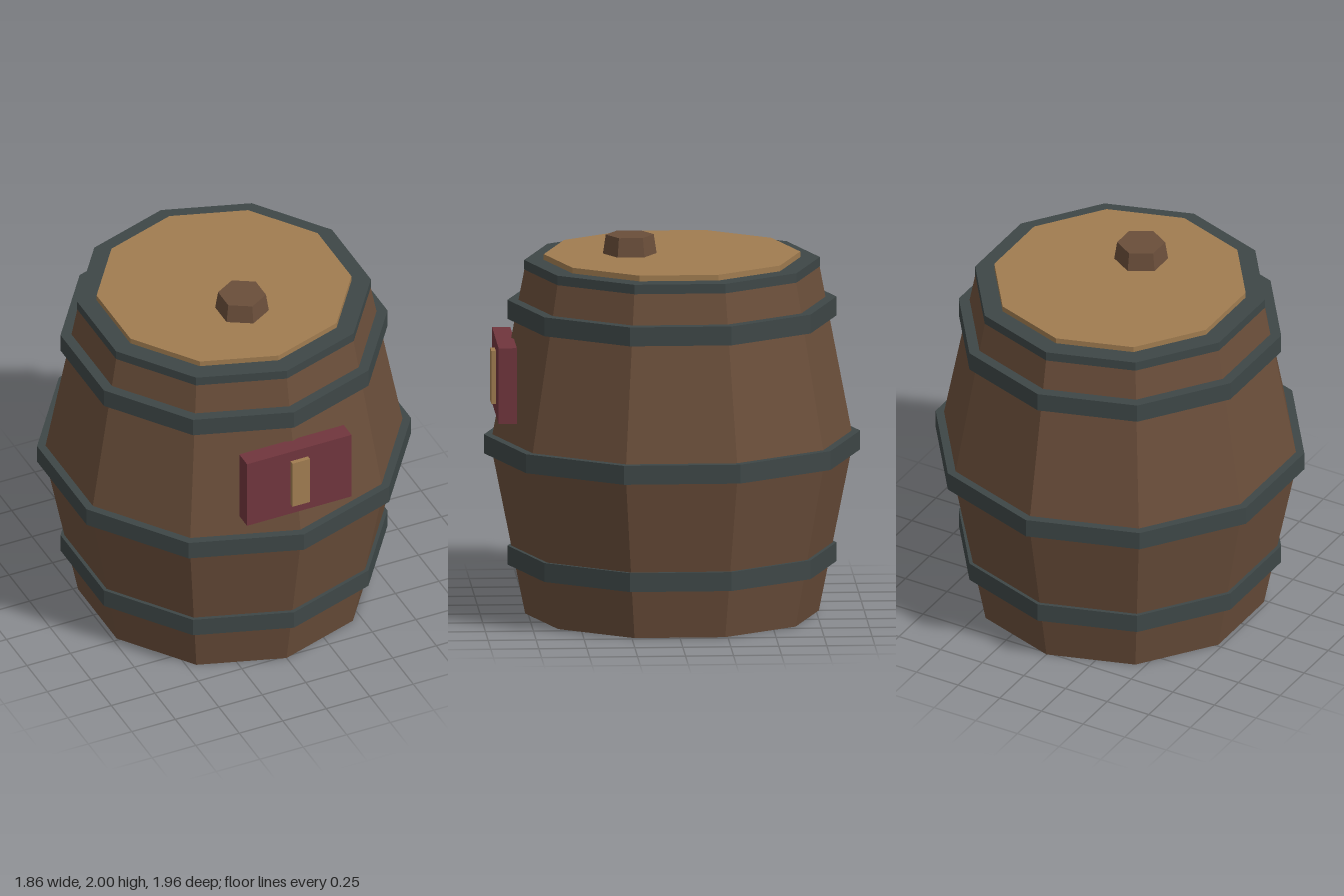
import * as THREE from 'three';

const SIDES = 10;

function material(name, color) {
  const m = new THREE.MeshStandardMaterial({ color });
  m.name = name;
  m.flatShading = true;
  return m;
}

export function createModel() {
  const wood = material('wood', 0x6a4e3a);
  const iron = material('iron', 0x3e4747);
  const paleWood = material('pale wood', 0xa07c50);
  const red = material('red', 0x70353d);

  const group = new THREE.Group();
  group.name = 'barrel';

  function add(name, geometry, mat, x, y, z) {
    const mesh = new THREE.Mesh(geometry, mat);
    mesh.name = name;
    mesh.position.set(x, y, z);
    group.add(mesh);
  }

  // Faceted drum standing between two heights
  function drum(name, mat, rBottom, rTop, y0, y1, sides = SIDES, z = 0) {
    const geometry = new THREE.CylinderGeometry(rTop, rBottom, y1 - y0, sides);
    add(name, geometry, mat, 0, (y0 + y1) / 2, z);
  }

  // Body: closed profile, widest at the middle
  const profile = [[0, 0], [0.765, 0], [0.945, 0.9], [0.765, 1.84], [0, 1.84]]
    .map(([r, y]) => new THREE.Vector2(r, y));
  add('staves', new THREE.LatheGeometry(profile, SIDES), wood, 0, 0, 0);

  // Iron hoops
  drum('lowerHoop', iron, 0.857, 0.857, 0.26, 0.36);
  drum('middleHoop', iron, 0.98, 0.98, 0.85, 0.95);
  drum('upperHoop', iron, 0.857, 0.857, 1.56, 1.66);
  drum('topRim', iron, 0.77, 0.77, 1.82, 1.87);

  // Lid and its bung
  drum('lid', paleWood, 0.668, 0.668, 1.87, 1.9);
  drum('bung', wood, 0.14, 0.125, 1.9, 2, 6, 0.22);

  // Front plaque with a raised bar
  add('plaque', new THREE.BoxGeometry(0.6, 0.4, 0.095), red, 0, 1.26, 0.8725);
  add('plaqueBar', new THREE.BoxGeometry(0.1, 0.28, 0.025), paleWood, 0, 1.26, 0.9315);

  return group;
}
